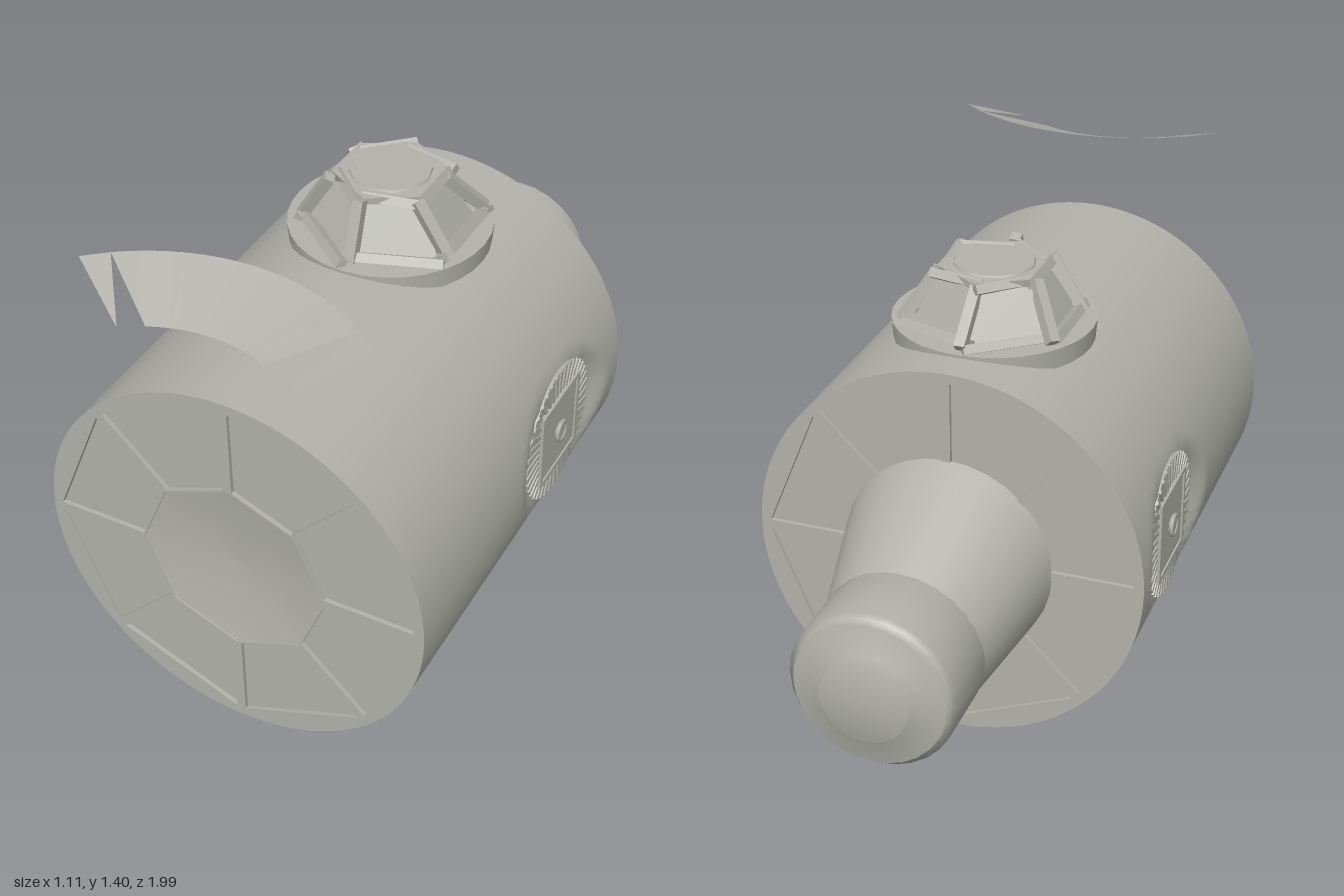
import * as THREE from 'three';

const CY = 0.565, R = 0.557, HATCH_Z = -0.035;

export function createModel() {
  const root = new THREE.Group();
  const hull = new THREE.MeshStandardMaterial({ color: 0xb2b2aa });
  hull.name = 'hullGrey';
  const sheet = new THREE.MeshStandardMaterial({ color: 0xb2b2aa, side: THREE.DoubleSide });
  sheet.name = 'hullGreySheet';

  const add = (parent, name, geo, mat = hull) => {
    const m = new THREE.Mesh(geo, mat);
    m.name = name;
    parent.add(m);
    return m;
  };
  const group = (name, parent = root) => {
    const g = new THREE.Group();
    g.name = name;
    parent.add(g);
    return g;
  };
  // box beam from a to b, with its top turned towards "up"
  const beam = (parent, name, a, b, w, up) => {
    const m = add(parent, name, new THREE.BoxGeometry(w, w, a.distanceTo(b) + w * 0.5));
    m.up.copy(up);
    m.position.copy(a).lerp(b, 0.5);
    m.lookAt(b);
    return m;
  };

  // pressure hull, pressed flat around the three side hatches
  const hullGeo = new THREE.CylinderGeometry(R, R, 1.28, 96, 72, true).rotateX(Math.PI / 2).translate(0, 0, 0.23);
  const pos = hullGeo.attributes.position;
  for (let i = 0; i < pos.count; i++) {
    let x = pos.getX(i), y = pos.getY(i);
    const dz = pos.getZ(i) - HATCH_Z;
    const limit = side => 0.518 + Math.max(0, Math.hypot(side, dz) - 0.215) * 0.5;
    const lx = limit(y), ly = limit(x);
    if (Math.abs(x) > lx) x = Math.sign(x) * lx;
    if (y < -ly) y = -ly;
    pos.setXY(i, x, y);
  }
  hullGeo.computeVertexNormals();
  add(root, 'hull', hullGeo, sheet).position.y = CY;

  // octagonal end frames with eight recessed panels
  const dir = k => new THREE.Vector2(Math.cos(k * Math.PI / 4), Math.sin(k * Math.PI / 4));
  const octagon = r => [...Array(8).keys()].map(k => dir(k).multiplyScalar(r));
  const endFace = name => {
    const g = group(name);
    const frame = new THREE.Shape().absarc(0, 0, R, 0, Math.PI * 2);
    frame.holes.push(new THREE.Path(octagon(0.27)));
    for (let k = 0; k < 8; k++) {
      const a = dir(k), b = dir(k + 1);
      const e = b.clone().sub(a).normalize().multiplyScalar(0.014);
      const at = (v, r, s) => v.clone().multiplyScalar(r).addScaledVector(e, s);
      frame.holes.push(new THREE.Path([at(a, 0.276, 1), at(a, 0.535, 1), at(b, 0.535, -1), at(b, 0.276, -1)]));
    }
    add(g, 'endFrame', new THREE.ExtrudeGeometry(frame, { depth: 0.02, bevelEnabled: false, curveSegments: 48 })).position.z = -0.02;
    const back = new THREE.Shape(octagon(0.55));
    back.holes.push(new THREE.Path(octagon(0.268)));
    add(g, 'endPanels', new THREE.ShapeGeometry(back)).position.z = -0.012;
    return g;
  };
  const front = endFace('frontEnd');
  front.position.set(0, CY, 0.87);
  const rear = endFace('rearEnd');
  rear.position.set(0, CY, -0.41);
  rear.rotation.y = Math.PI;

  // shallow dish in the middle of the front
  const dish = new THREE.LatheGeometry([[0, -0.03], [0.14, -0.024], [0.272, -0.002]].map(p => new THREE.Vector2(...p)), 8);
  const dishMesh = add(front, 'dockingDish', dish.rotateX(Math.PI / 2).rotateZ(0), sheet);
  dishMesh.position.z = -0.002;

  // skewed neck: its bottom stays level while its top slopes down
  const neck = new THREE.CylinderGeometry(0.3, 0.226, 0.34, 32, 8, true).rotateX(Math.PI / 2);
  const np = neck.attributes.position;
  for (let i = 0; i < np.count; i++) {
    const t = 0.5 - np.getZ(i) / 0.34;
    np.setY(i, np.getY(i) + CY - 0.08 * t);
  }
  neck.translate(0, 0, -0.575);
  neck.computeVertexNormals();
  add(root, 'rearNeck', neck, sheet);

  // docking drum with a stepped end
  const drumProfile = [[0, 1], [0.12, 1], [0.12, 0.966], [0.207, 0.964], [0.212, 0.94], [0.229, 0.937], [0.229, 0.735], [0.2, 0.73]];
  const drum = new THREE.LatheGeometry(drumProfile.map(([r, h]) => new THREE.Vector2(r, h)), 28);
  add(root, 'dockingDrum', drum.rotateX(-Math.PI / 2), sheet).position.y = 0.482;

  // side and belly hatches, modelled facing +z and turned outwards
  const makeHatch = (name, rx, ry) => {
    const g = group(name);
    g.position.set(0, CY, HATCH_Z);
    g.rotation.set(rx, ry, 0);
    add(g, 'hatchDisc', new THREE.CylinderGeometry(0.205, 0.22, 0.03, 40).rotateX(Math.PI / 2)).position.z = 0.508;
    for (let k = 0; k < 40; k++) {
      const a = k * Math.PI / 20;
      const rib = add(g, 'hatchRib', new THREE.BoxGeometry(0.075, 0.012, 0.008));
      rib.position.set(Math.cos(a) * 0.172, Math.sin(a) * 0.172, 0.524);
      rib.rotation.z = a;
    }
    add(g, 'hatchDoor', new THREE.BoxGeometry(0.25, 0.25, 0.03)).position.z = 0.515;
    for (let k = 0; k < 4; k++) {
      const a = k * Math.PI / 2;
      const bar = add(g, 'hatchFrame', new THREE.BoxGeometry(0.25, 0.016, 0.036));
      bar.position.set(-Math.sin(a) * 0.119, Math.cos(a) * 0.119, 0.517);
      bar.rotation.z = a;
    }
    add(g, 'hatchHandle', new THREE.TorusGeometry(0.029, 0.006, 8, 20)).position.z = 0.538;
    add(g, 'hatchHub', new THREE.CylinderGeometry(0.028, 0.028, 0.012, 20).rotateX(Math.PI / 2)).position.z = 0.534;
  };
  makeHatch('leftHatch', 0, Math.PI / 2);
  makeHatch('rightHatch', 0, -Math.PI / 2);
  makeHatch('bellyHatch', Math.PI / 2, 0);

  // cupola on top: round base, hexagonal window cage and round skylight
  const cupola = group('cupola');
  cupola.position.z = -0.025;
  add(cupola, 'cupolaBase', new THREE.CylinderGeometry(0.285, 0.28, 0.058, 32)).position.y = 1.101;
  const core = new THREE.CylinderGeometry(0.142, 0.232, 0.15, 6).toNonIndexed();
  core.computeVertexNormals();
  add(cupola, 'cupolaWindows', core).position.y = 1.2;
  const hex = (k, r, y) => new THREE.Vector3(Math.sin(k * Math.PI / 3) * r, y, Math.cos(k * Math.PI / 3) * r);
  for (let k = 0; k < 6; k++) {
    const out = hex(k, 1, 0.6), mid = hex(k + 0.5, 1, 0.6);
    beam(cupola, 'cupolaPost', hex(k, 0.253, 1.138), hex(k, 0.157, 1.272), 0.03, out);
    beam(cupola, 'cupolaSill', hex(k, 0.25, 1.138), hex(k + 1, 0.25, 1.138), 0.026, mid);
    beam(cupola, 'cupolaHeader', hex(k, 0.152, 1.27), hex(k + 1, 0.152, 1.27), 0.026, mid);
  }
  add(cupola, 'cupolaRoof', new THREE.CylinderGeometry(0.158, 0.158, 0.02, 6)).position.y = 1.273;
  add(cupola, 'skylight', new THREE.CylinderGeometry(0.112, 0.116, 0.008, 12)).position.y = 1.285;

  // loose curved shield above the front, with a split corner at each end
  const shield = group('shield');
  const rimPoint = (deg, t) => {
    const a = deg * Math.PI / 180, r = 0.58 - 0.208 * t;
    return [Math.sin(a) * r, 1.412 - 0.072 * t, 1.26 - Math.cos(a) * r];
  };
  const strip = (name, pairs) => {
    const verts = [], index = [];
    pairs.forEach(([outer, inner], i) => {
      verts.push(...rimPoint(outer, 0), ...rimPoint(inner, 1));
      if (i) index.push(2 * i - 2, 2 * i - 1, 2 * i, 2 * i, 2 * i - 1, 2 * i + 1);
    });
    const geo = new THREE.BufferGeometry();
    geo.setAttribute('position', new THREE.Float32BufferAttribute(verts, 3));
    geo.setIndex(index);
    geo.computeVertexNormals();
    add(shield, name, geo, sheet);
  };
  strip('shieldBand', [...Array(17).keys()].map(i => [-36 + i * 4.5, -25.6 + i * 3.2]));
  strip('shieldCornerRight', [[-43.6, -36], [-36, -36]]);
  strip('shieldCornerLeft', [[36, 44], [43.6, 44]]);

  return root;
}
